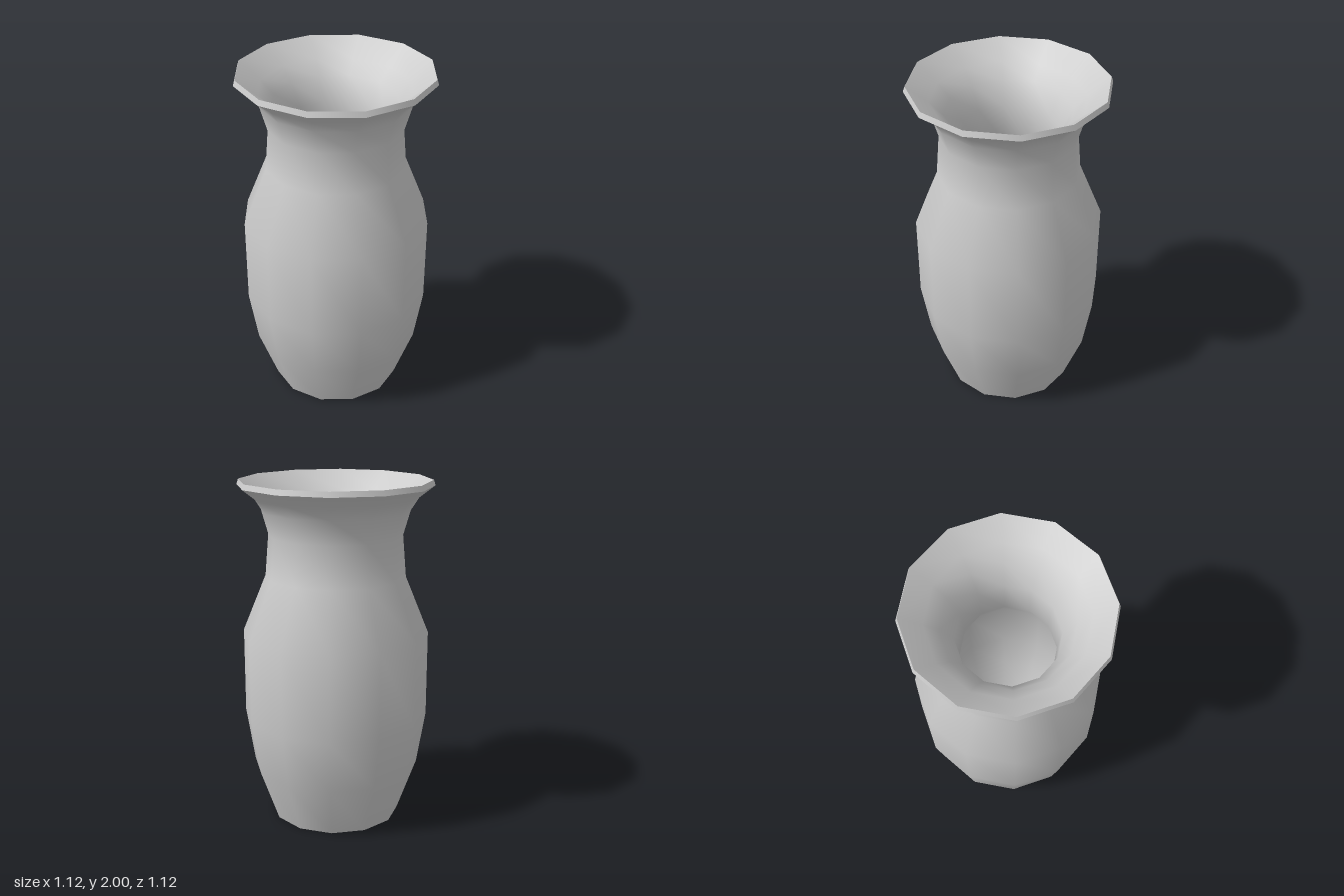
import * as THREE from 'three';

const SIDES = 12;

export function createModel() {
  const vase = new THREE.Group();
  vase.name = 'vase';
  const material = new THREE.MeshStandardMaterial({ color: 0xcccccc });

  // Each smooth band is its own lathe, so the edges between bands stay sharp.
  const addBand = (name, profile) => {
    const points = profile.map(([r, y]) => new THREE.Vector2(r, y));
    const mesh = new THREE.Mesh(new THREE.LatheGeometry(points, SIDES), material);
    mesh.name = name;
    vase.add(mesh);
  };

  // Flat underside
  addBand('base', [[0, 0], [0.378, 0]]);

  // Belly, shoulder, neck and flared mouth
  addBand('outerWall', [
    [0.378, 0], [0.49, 0.31], [0.54, 0.62], [0.54, 1.12], [0.405, 1.45],
    [0.385, 1.69], [0.425, 1.83], [0.47, 1.9], [0.56, 1.97],
  ]);

  // Thin bevelled lip
  addBand('rim', [[0.56, 1.97], [0.55, 2]]);

  // Funnel narrowing to the throat, then the hollow inside
  addBand('innerWall', [
    [0.55, 2], [0.43, 1.9], [0.355, 1.82], [0.285, 1.69], [0.265, 1.47],
    [0.42, 1.1], [0.42, 0.64], [0.37, 0.34], [0.29, 0.1],
  ]);

  // Floor of the hollow
  addBand('innerFloor', [[0.29, 0.1], [0, 0.1]]);

  return vase;
}
